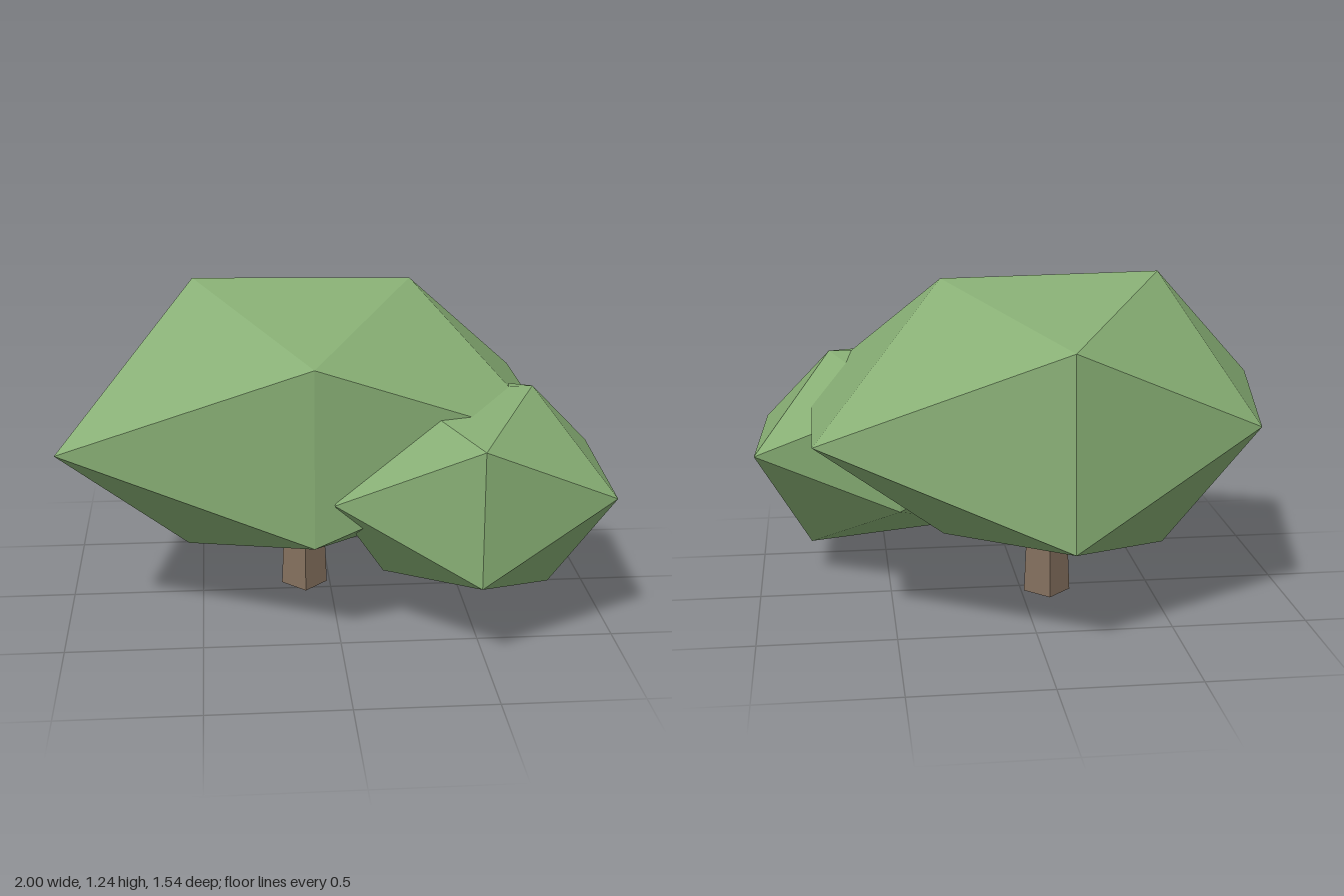
import * as THREE from 'three';

const T = (1 + Math.sqrt(5)) / 2;

// The twelve icosahedron corner directions, in the order the reach lists use
const CORNERS = [
  [-1, T, 0], [1, T, 0], [-1, -T, 0], [1, -T, 0],
  [0, -1, T], [0, 1, T], [0, -1, -T], [0, 1, -T],
  [T, 0, -1], [T, 0, 1], [-T, 0, -1], [-T, 0, 1],
].map((c) => new THREE.Vector3(...c).normalize());

// Irregular leaf clump: each icosahedron corner is pushed out to its own reach
function clump(name, material, reach, scale, center) {
  const geometry = new THREE.IcosahedronGeometry(1, 0);
  const pos = geometry.attributes.position;
  const v = new THREE.Vector3();
  for (let i = 0; i < pos.count; i++) {
    v.fromBufferAttribute(pos, i);
    const corner = CORNERS.findIndex((c) => c.dot(v) > 0.9);
    v.multiplyScalar(reach[corner]);
    pos.setXYZ(i, v.x, v.y, v.z);
  }
  geometry.scale(...scale);
  geometry.computeVertexNormals();
  const mesh = new THREE.Mesh(geometry, material);
  mesh.name = name;
  mesh.position.set(...center);
  return mesh;
}

export function createModel() {
  const leaf = new THREE.MeshStandardMaterial({ color: 0x86ad73 });
  leaf.name = 'leaf green';
  leaf.flatShading = true;
  const bark = new THREE.MeshStandardMaterial({ color: 0x84705e });
  bark.name = 'bark brown';
  bark.flatShading = true;

  const tree = new THREE.Group();
  tree.name = 'tree';

  // Four-sided tapering trunk, running up into the crown
  const trunk = new THREE.Mesh(new THREE.CylinderGeometry(0.07, 0.089, 0.45, 4), bark);
  trunk.name = 'trunk';
  trunk.position.set(-0.1, 0.225, -0.057);
  tree.add(trunk);

  // Main crown
  tree.add(clump('mainCrown', leaf,
    [0.78, 0.76, 0.86, 0.757, 0.814, 0.827, 0.888, 0.84, 1.035, 1.04, 0.84, 1.057],
    [1, 0.76, 0.936], [-0.1, 0.735, -0.06]));

  // Smaller side crown at the front left
  tree.add(clump('sideCrown', leaf,
    [0.46, 0.47, 0.55, 0.64, 0.58, 0.57, 0.487, 0.535, 0.63, 0.593, 0.55, 0.582],
    [1, 0.82, 1], [0.465, 0.57, 0.28]));

  return tree;
}
